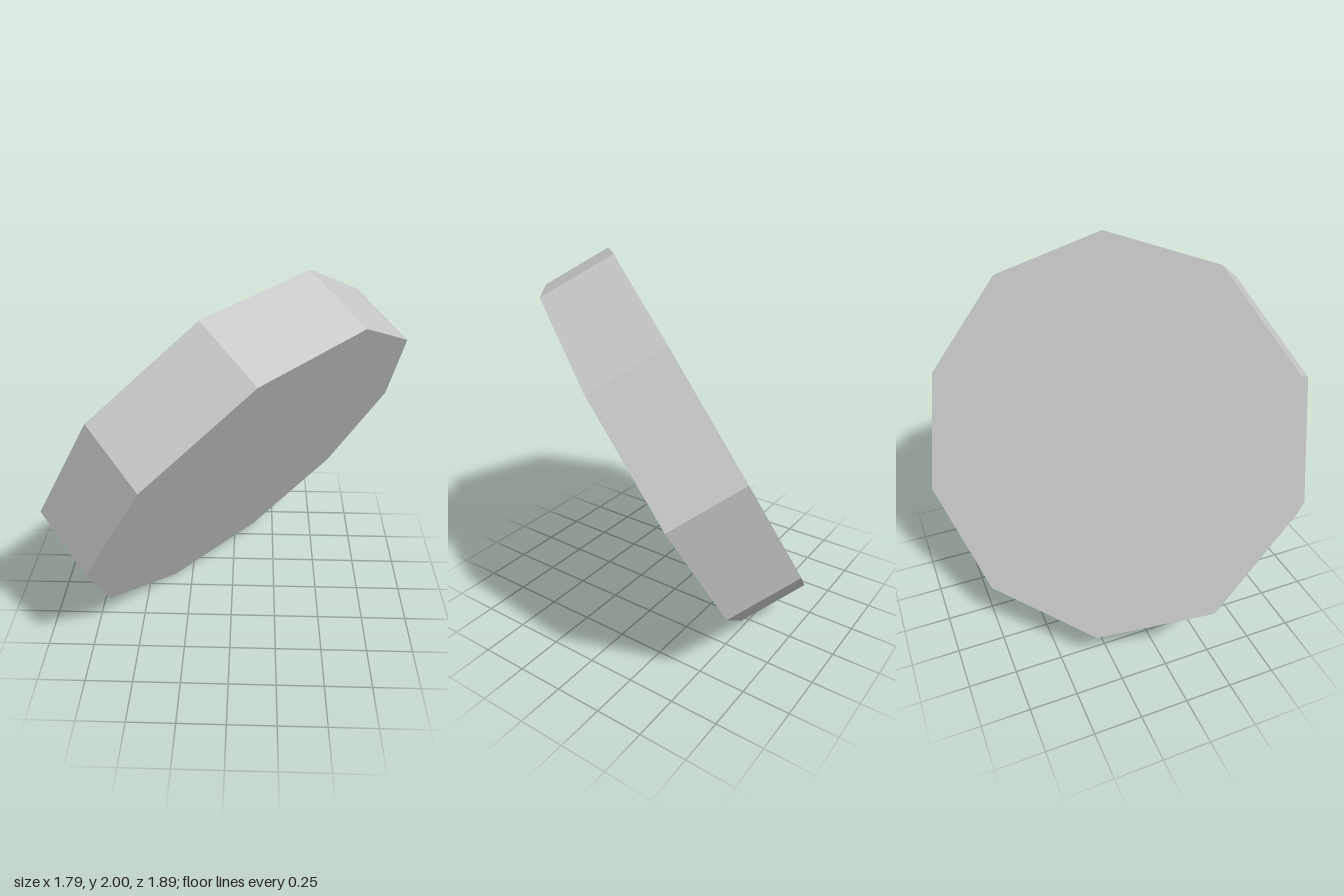
import * as THREE from 'three';

export function createModel() {
  const group = new THREE.Group();
  group.name = 'tiltedDisc';

  const grey = new THREE.MeshStandardMaterial({ color: 0xc8c8c8, flatShading: true });
  grey.name = 'light grey';

  // Ten-sided disc, thickness along its own y axis
  const disc = new THREE.Mesh(new THREE.CylinderGeometry(1.046, 1.046, 0.39, 10), grey);
  disc.name = 'decagonalDisc';

  // Lean the disc: its axis points right, down and forward, one corner lies in the x = 0 plane of the disc
  const corner = new THREE.Vector3(0, 0.83, 0.64).normalize();
  const axis = new THREE.Vector3(0.245, -0.185, 0.24);
  axis.addScaledVector(corner, -axis.dot(corner)).normalize();
  const side = new THREE.Vector3().crossVectors(axis, corner);
  disc.quaternion.setFromRotationMatrix(new THREE.Matrix4().makeBasis(side, axis, corner));
  disc.position.y = 1;

  group.add(disc);
  return group;
}
